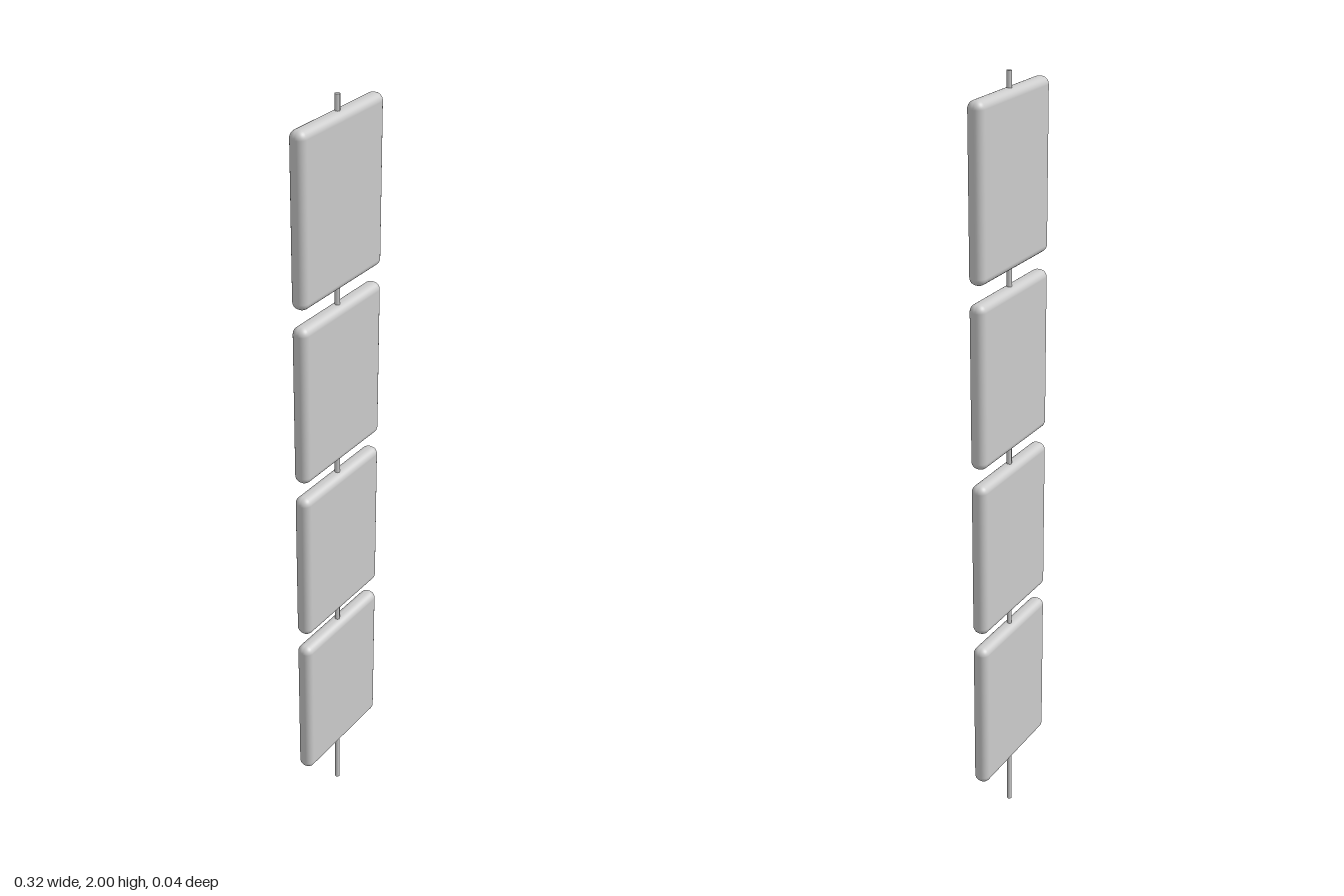
import * as THREE from 'three';
import { RoundedBoxGeometry } from 'three/addons/geometries/RoundedBoxGeometry.js';

export function createModel() {
  const group = new THREE.Group();
  const material = new THREE.MeshStandardMaterial({ color: 0xcccccc });

  // Thin cord running the full height
  const cord = new THREE.Mesh(new THREE.CylinderGeometry(0.0065, 0.0065, 2, 8), material);
  cord.name = 'cord';
  cord.position.y = 1;
  group.add(cord);

  // Four soft-edged panels threaded on the cord
  const panelGeometry = new RoundedBoxGeometry(0.316, 0.419, 0.042, 4, 0.019);
  for (let i = 0; i < 4; i++) {
    const panel = new THREE.Mesh(panelGeometry, material);
    panel.name = `panel${i + 1}`;
    panel.position.y = 0.363 + i * 0.4633;
    group.add(panel);
  }

  return group;
}
